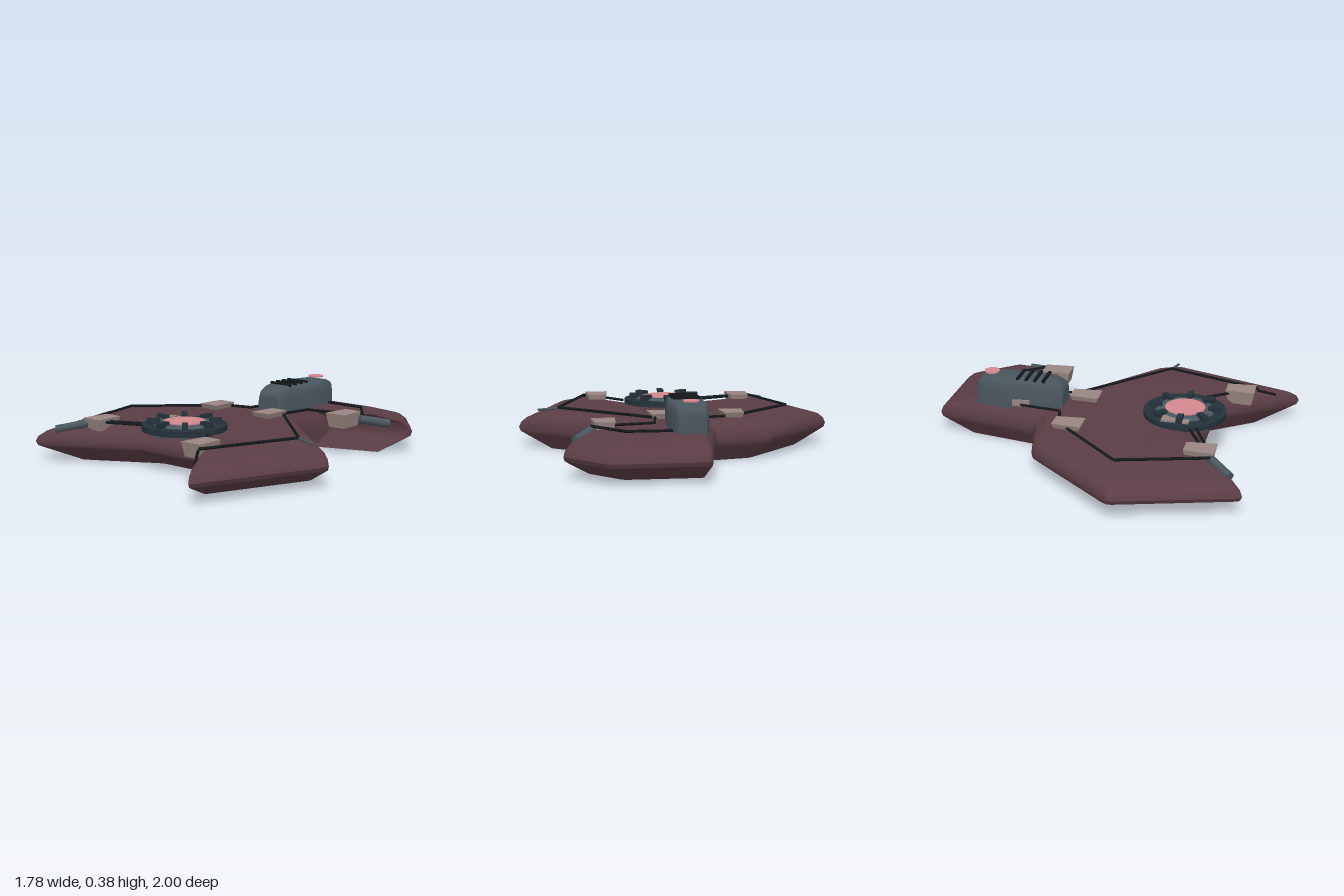
import * as THREE from 'three';
import { toCreasedNormals } from 'three/addons/utils/BufferGeometryUtils.js';

const V = (x, y, z) => new THREE.Vector3(x, y, z);
const material = (name, color) => {
  const m = new THREE.MeshStandardMaterial({ color });
  m.name = name;
  return m;
};

// Skin a stack of matching rings; contour is the 2D outline used for the caps.
function loft(rings, contour, crease) {
  const n = contour.length, index = [];
  const sign = THREE.ShapeUtils.area(contour);
  const cap = THREE.ShapeUtils.triangulateShape(contour, []).map((t) =>
    THREE.ShapeUtils.area(t.map((i) => contour[i])) * sign > 0 ? t : [t[0], t[2], t[1]]);
  const last = (rings.length - 1) * n;
  for (const [a, b, c] of cap) index.push(a, b, c, last + a, last + c, last + b);
  for (let r = 0; r < rings.length - 1; r++) {
    for (let j = 0; j < n; j++) {
      const a = r * n + j, b = r * n + (j + 1) % n;
      index.push(a, a + n, b, b, a + n, b + n);
    }
  }
  const g = new THREE.BufferGeometry().setFromPoints(rings.flat());
  g.setIndex(index);
  return toCreasedNormals(g, crease);
}

// Replace every corner of an outline with a small curve.
function roundCorners(points, r) {
  const p = points.map(([x, y]) => new THREE.Vector2(x, y)), n = p.length;
  return p.flatMap((c, i) => {
    const toward = (q) => c.clone().add(q.clone().sub(c).setLength(r));
    return new THREE.QuadraticBezierCurve(toward(p[(i + n - 1) % n]), c, toward(p[(i + 1) % n])).getPoints(3);
  });
}

export function createModel() {
  const model = new THREE.Group();
  const hullMat = material('plum hull', 0x5a3d45);
  const slate = material('slate', 0x4a565e);
  const dark = material('dark slate', 0x24313a);
  const black = material('black', 0x14191c);
  const pink = material('pink', 0xd4878f);
  const tan = material('taupe', 0x978581);

  const add = (name, geometry, mat, x = 0, y = 0, z = 0, parent = model) => {
    const m = new THREE.Mesh(geometry, mat);
    m.name = name;
    m.position.set(x, y, z);
    parent.add(m);
    return m;
  };
  const rod = (name, a, b, radius, mat, sides = 6) => {
    const m = add(name, new THREE.CylinderGeometry(radius, radius, a.distanceTo(b), sides), mat);
    m.position.copy(a).add(b).multiplyScalar(0.5);
    m.quaternion.setFromUnitVectors(V(0, 1, 0), b.clone().sub(a).normalize());
    return m;
  };

  // Hull: one outline, scaled toward its middle for the sloping top and underside
  const outline = roundCorners([
    [-0.03, -1], [0.485, -1], [0.7, -0.75], [0.245, -0.59], [0.18, -0.33], [0.895, 0.255],
    [0.63, 1.01], [0.29, 0.555], [-0.18, 0.555], [-0.70, 0.855], [-0.895, 0.19],
    [-0.45, -0.33], [-0.14, -0.4],
  ], 0.03);
  const profile = [[0.79, 0], [0.96, 0.076], [0.99, 0.09], [1, 0.112], [0.988, 0.14], [0.95, 0.168], [0.93, 0.175], [0.76, 0.217]];
  const hullRings = profile.map(([s, y]) =>
    outline.map((p) => V(0.04 + (p.x - 0.04) * s, y, -0.13 + (p.y + 0.13) * s)));
  add('hull', loft(hullRings, outline, 0.6), hullMat);

  // Engine housing: rounded cross-sections along z
  const half = [[1, 0], [1, 0.62], [0.95, 0.84], [0.86, 0.95], [0.7, 1]];
  const section = [...half.map(([x, y]) => [-x, y]), ...half.map(([x, y]) => [x, y]).reverse()]
    .map(([x, y]) => new THREE.Vector2(x, y));
  const stations = [
    [-0.765, 0.07, 0.32], [-0.75, 0.08, 0.345], [-0.71, 0.088, 0.36], [-0.6, 0.108, 0.362],
    [-0.5, 0.1, 0.362], [-0.33, 0.085, 0.36], [-0.28, 0.08, 0.335], [-0.265, 0.074, 0.31],
  ];
  const engineRings = stations.map(([z, w, top]) =>
    section.map((p) => V(0.035 + p.x * w, 0.2 + p.y * (top - 0.2), z)));
  add('engineHousing', loft(engineRings, section, 0.7), slate);
  for (let i = 0; i < 4; i++) {
    add('engineRib', new THREE.BoxGeometry(0.145, 0.03, 0.016), black, 0.035, 0.358, -0.525 + i * 0.05);
  }
  add('engineLamp', new THREE.CylinderGeometry(0.043, 0.043, 0.008, 24), pink, 0.035, 0.375, -0.695);
  add('engineSideFitting', new THREE.BoxGeometry(0.03, 0.04, 0.1), tan, -0.055, 0.235, -0.5);

  // Round hatch with a glowing centre and eight clamps
  const hatch = new THREE.Group();
  hatch.name = 'hatch';
  hatch.position.set(0.035, 0, 0.42);
  model.add(hatch);
  add('hatchRim', new THREE.CylinderGeometry(0.23, 0.23, 0.032, 40), dark, 0, 0.229, 0, hatch);
  add('hatchRing', new THREE.CylinderGeometry(0.15, 0.165, 0.012, 40), slate, 0, 0.251, 0, hatch);
  add('hatchGlow', new THREE.CylinderGeometry(0.112, 0.112, 0.008, 32), pink, 0, 0.259, 0, hatch);
  for (let i = 0; i < 8; i++) {
    const a = i * Math.PI / 4;
    for (const [name, y, h, mat] of [['clamp', 0.26, 0.032, dark], ['lowerClamp', 0.203, 0.025, slate]]) {
      const c = add(name, new THREE.BoxGeometry(0.07, h, 0.032), mat, Math.cos(a) * 0.165, y, -Math.sin(a) * 0.165, hatch);
      c.rotation.y = a;
    }
  }
  add('hatchPlate', new THREE.BoxGeometry(0.065, 0.012, 0.08), tan, -0.16, 0.25, -0.06, hatch);
  add('hatchPlate', new THREE.BoxGeometry(0.045, 0.012, 0.035), tan, -0.175, 0.25, 0.035, hatch);

  // Tapered junction blocks, wider toward the front and narrower below
  const block = (x, z, height) => {
    const g = new THREE.BoxGeometry(0.13, height, 0.165);
    const p = g.attributes.position;
    for (let i = 0; i < p.count; i++) {
      const back = p.getZ(i) < 0 ? 0.82 : 1, low = p.getY(i) < 0 ? 0.82 : 1;
      p.setX(i, p.getX(i) * back * low);
      p.setZ(i, p.getZ(i) * low);
    }
    g.computeVertexNormals();
    add('junctionBlock', g, tan, x, 0.245 - height / 2, z);
  };
  block(-0.27, -0.17, 0.035);
  block(0.13, -0.17, 0.035);
  block(-0.435, 0.585, 0.065);
  block(0.41, 0.68, 0.08);
  block(0.457, -0.425, 0.08);

  // Cables: x, z points joined by thin rods just above the hull
  const cables = [
    [[-0.07, -0.5], [-0.1, -0.265], [-0.26, -0.225], [-0.645, 0.17], [-0.51, 0.65]],
    [[-0.17, 0.48], [-0.44, 0.61]],
    [[-0.17, 0.52], [-0.5, 0.66]],
    [[0.13, -0.705], [0.37, -0.7], [0.53, -0.5]],
    [[0.48, -0.495], [0.19, -0.43], [0.165, -0.24], [0.665, 0.225], [0.48, 0.77], [0.27, 0.49]],
  ];
  for (const path of cables) {
    for (let i = 0; i < path.length - 1; i++) {
      const [a, b] = [path[i], path[i + 1]];
      rod('cable', V(a[0], 0.226, a[1]), V(b[0], 0.226, b[1]), 0.008, black);
    }
  }
  rod('cableEnd', V(0.665, 0.222, 0.225), V(0.78, 0.21, 0.247), 0.008, slate);
  rod('cableEnd', V(0.47, 0.215, 0.77), V(0.54, 0.17, 0.865), 0.008, black);

  // Stubby nozzles sloping off the edge
  rod('leftNozzle', V(0.52, 0.205, -0.485), V(0.62, 0.172, -0.63), 0.024, slate, 16);
  rod('rightNozzle', V(-0.48, 0.215, 0.64), V(-0.61, 0.18, 0.77), 0.022, slate, 16);

  return model;
}
